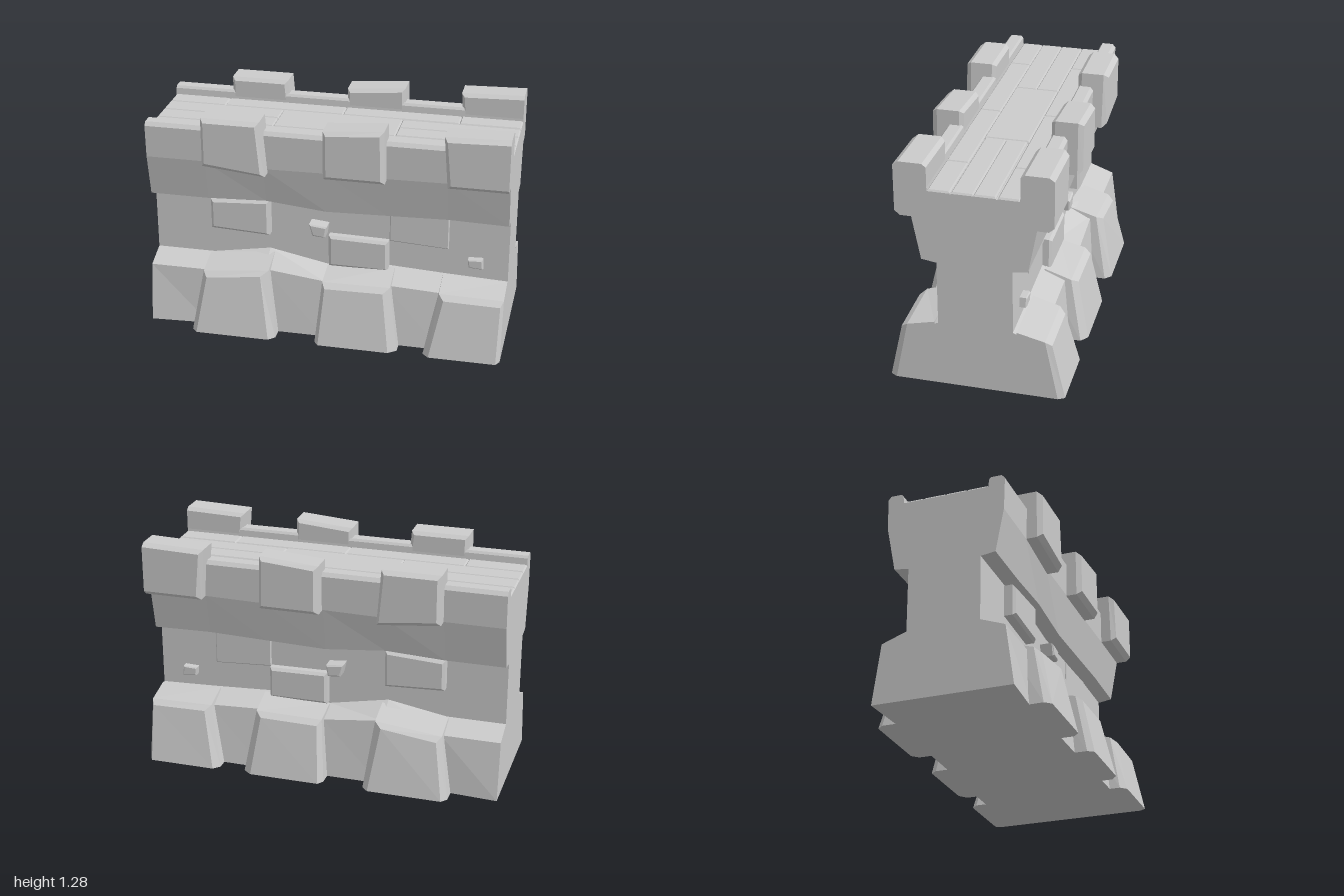
import * as THREE from 'three';

const material = new THREE.MeshStandardMaterial({ color: 0xcccccc, flatShading: true });

// Joins equal-length loops of [x, y, z] points and closes both ends.
// Loops run counter-clockwise in the flat coordinates given by project.
function loft(name, loops, project) {
  const pos = [];
  const tri = (a, b, c) => pos.push(...a, ...b, ...c);
  const n = loops[0].length;
  for (let k = 0; k < loops.length - 1; k++) {
    for (let i = 0; i < n; i++) {
      const j = (i + 1) % n, a = loops[k], b = loops[k + 1];
      tri(a[i], a[j], b[j]);
      tri(a[i], b[j], b[i]);
    }
  }
  const cap = (loop, flip) => {
    const flat = loop.map(p => new THREE.Vector2(...project(p)));
    for (const [a, b, c] of THREE.ShapeUtils.triangulateShape(flat, [])) {
      if (flip) tri(loop[a], loop[c], loop[b]);
      else tri(loop[a], loop[b], loop[c]);
    }
  };
  cap(loops[0], true);
  cap(loops[loops.length - 1], false);
  const geo = new THREE.BufferGeometry();
  geo.setAttribute('position', new THREE.Float32BufferAttribute(pos, 3));
  geo.computeVertexNormals();
  const mesh = new THREE.Mesh(geo, material);
  mesh.name = name;
  return mesh;
}

// Shrinks a quad (bottom left, bottom right, top right, top left); edges on x = 1 stay flush.
const inset = (quad, b, bottom = b) => quad.map(([x, y], i) => [
  x >= 1 ? x : x + (i === 0 || i === 3 ? b : -b),
  y + (i < 2 ? bottom : -b),
]);
const atZ = (quad, z) => quad.map(([x, y]) => [x, y, z]);

export function createModel() {
  const model = new THREE.Group();
  model.name = 'wallSegment';

  // Adds a part on the front and its mirror image on the back
  const addBoth = (name, loops) => {
    const xy = p => [p[0], p[1]];
    const mirrored = loops.map(l => l.map(([x, y, z]) => [x, y, -z])).reverse();
    model.add(loft(name + 'Front', loops, xy), loft(name + 'Back', mirrored, xy));
  };

  // Wall core: x, base depth, shoulder height, ledge height, overhang height, overhang crease
  const stations = [
    [-1, 0.38, 0.33, 0.38, 0.75, 0.99],
    [-0.67, 0.36, 0.33, 0.38, 0.75, 0.99],
    [-0.34, 0.37, 0.37, 0.437, 0.765, 0.975],
    [0, 0.37, 0.33, 0.37, 0.732, 0.98],
    [0.34, 0.38, 0.345, 0.402, 0.742, 0.98],
    [0.67, 0.38, 0.33, 0.385, 0.752, 0.985],
    [1, 0.38, 0.325, 0.372, 0.745, 0.985],
  ];
  const core = stations.map(([x, r, shoulder, ledge, hang, crease]) => {
    const half = [
      [r, 0], [0.335, shoulder], [0.2, ledge], [0.2, hang - 0.012], [0.28, hang],
      [0.325, crease], [0.33, 1.172], [0.313, 1.193], [0.252, 1.193], [0.242, 1.18], [0.238, 1.135],
    ];
    return [
      ...half.map(([z, y]) => [x, y, -z]),
      ...half.slice().reverse().map(([z, y]) => [x, y, z]),
    ];
  });
  model.add(loft('wallCore', core, p => [-p[2], p[1]]));

  // Battered foot stones: x of face at bottom and top, x of bevel, and top heights
  const feet = [
    { face: [-0.71, -0.295, -0.35, -0.66], rim: [-0.74, -0.26, -0.31, -0.685], top: [0.355, 0.315], back: [0.425, 0.385] },
    { face: [-0.01, 0.385, 0.34, 0.015], rim: [-0.035, 0.43, 0.375, -0.005], top: [0.325, 0.32], back: [0.4, 0.378] },
    { face: [0.61, 0.98, 0.985, 0.675], rim: [0.575, 1, 1, 0.645], top: [0.315, 0.32], back: [0.376, 0.39] },
  ];
  for (const { face, rim, top, back } of feet) {
    const ring = (xs, z0, z1, ys) => [
      [xs[0], 0, z0], [xs[1], 0, z0], [xs[2], ys[0], z1], [xs[3], ys[1], z1],
    ];
    addBoth('footStone', [
      ring(rim, 0.22, 0.22, back),
      ring(rim, 0.44, 0.37, top.map(y => y + 0.025)),
      ring(face, 0.475, 0.405, top),
    ]);
  }

  // Merlons
  const merlons = [
    [[-0.665, 0.99], [-0.315, 0.955], [-0.34, 1.27], [-0.665, 1.27]],
    [[0.005, 0.975], [0.34, 0.975], [0.335, 1.275], [0.005, 1.25]],
    [[0.675, 0.985], [1, 0.985], [1, 1.285], [0.652, 1.275]],
  ];
  for (const quad of merlons) {
    addBoth('merlon', [
      atZ(inset(quad, 0.018), 0.24),
      atZ(quad, 0.262),
      atZ(quad, 0.385),
      atZ(inset(quad, 0.02, 0.025), 0.413),
    ]);
  }

  // Raised bricks and small stones: corners, depth, bevel
  const bricks = [
    ['brick', [[-0.665, 0.555], [-0.33, 0.54], [-0.33, 0.75], [-0.665, 0.732]], 0.262, 0.015],
    ['brick', [[0.003, 0.382], [0.34, 0.382], [0.338, 0.562], [0.003, 0.568]], 0.25, 0.015],
    ['brick', [[0.34, 0.555], [0.67, 0.537], [0.67, 0.735], [0.34, 0.72]], 0.21, 0.006],
    ['smallStone', [[-0.083, 0.572], [-0.01, 0.566], [0, 0.632], [-0.1, 0.642]], 0.276, 0.008],
    ['smallStone', [[0.785, 0.452], [0.865, 0.447], [0.86, 0.503], [0.78, 0.5]], 0.24, 0.006],
  ];
  for (const [name, quad, z, b] of bricks) {
    addBoth(name, [atZ(quad, 0.18), atZ(quad, z - b), atZ(inset(quad, b), z)]);
  }

  // Walkway paving: x range, z range
  const paving = [
    [-1, -0.675, -0.238, -0.125], [-0.675, 0.005, -0.238, -0.125],
    [0.005, 0.66, -0.238, -0.125], [0.66, 1, -0.238, -0.125],
    [-1, -0.335, -0.125, 0], [-1, -0.335, 0, 0.12], [-0.335, 0.345, -0.125, 0.12],
    [0.345, 1, -0.115, 0], [0.345, 1, 0, 0.115],
    [-1, -0.675, 0.12, 0.238], [-0.675, 0.005, 0.12, 0.238],
    [0.005, 0.66, 0.12, 0.238], [0.66, 1, 0.12, 0.238],
  ];
  for (const [x0, x1, z0, z1] of paving) {
    const ring = (y, b) => [
      [x0 + b, y, z1 - b], [x1 - b, y, z1 - b], [x1 - b, y, z0 + b], [x0 + b, y, z0 + b],
    ];
    model.add(loft('pavingSlab', [ring(1.12, 0), ring(1.138, 0), ring(1.147, 0.007)], p => [p[0], -p[2]]));
  }
  return model;
}
